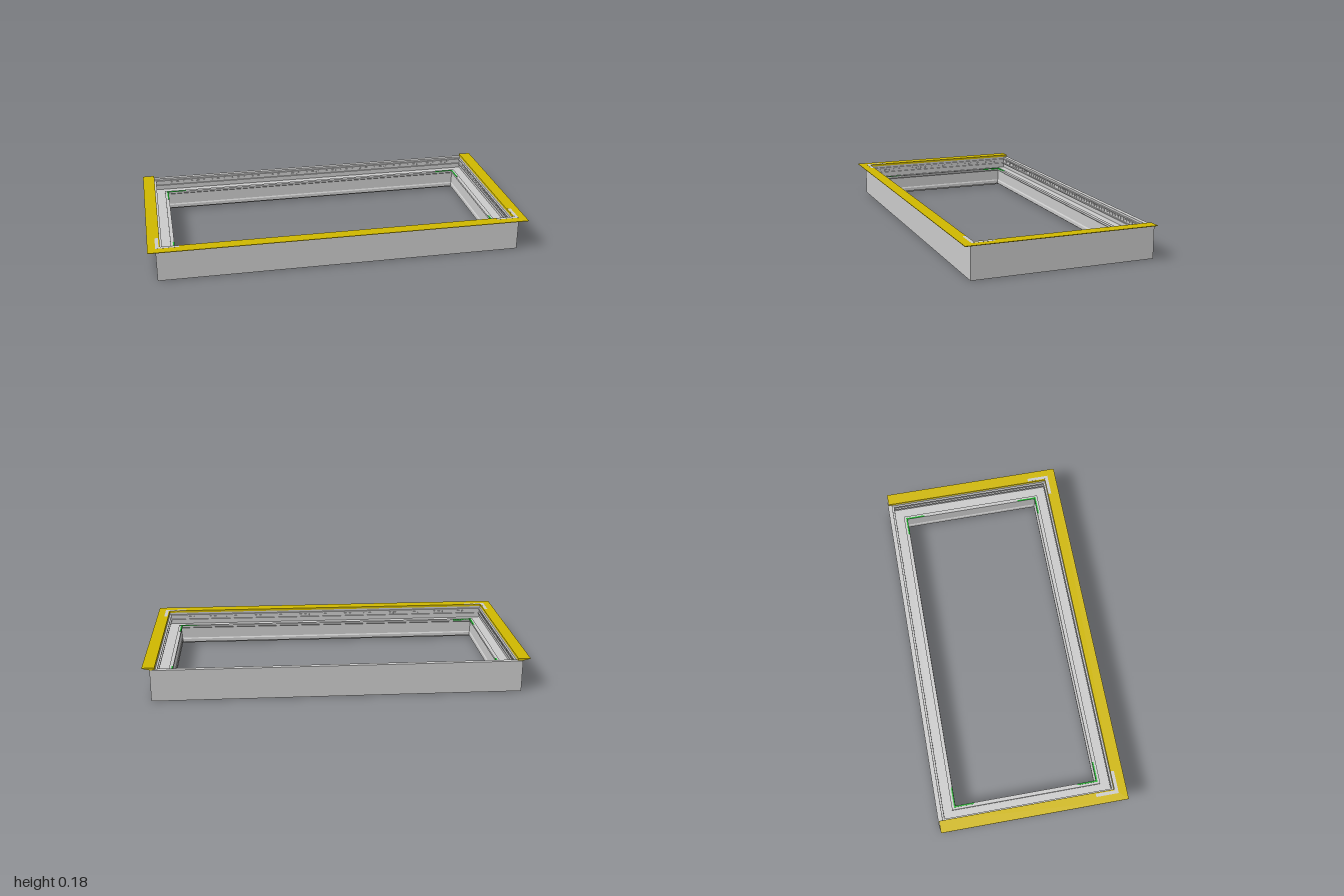
import * as THREE from 'three';
import { mergeGeometries } from 'three/addons/utils/BufferGeometryUtils.js';

const X = 0.96, BACK = -0.5, FRONT = 0.46;
const grey = new THREE.MeshStandardMaterial({ color: 0xcccccc });
const yellow = new THREE.MeshStandardMaterial({ color: 0xd0b800 });
const green = new THREE.MeshStandardMaterial({ color: 0x22bb33 });

// Sweep a profile of [inset, height] points along mitred corners.
// path(d) returns the corner positions [x, z] for an inset d.
function sweep(profile, path, closed) {
  const n = profile.length, count = path(0).length, pos = [];
  const at = (i, j) => {
    const [d, y] = profile[j % n], [x, z] = path(d)[i % count];
    return [x, y, z];
  };
  const tri = (...p) => p.forEach(v => pos.push(...v));
  for (let i = 0; i < (closed ? count : count - 1); i++)
    for (let j = 0; j < n; j++) {
      const a = at(i, j), b = at(i, j + 1), c = at(i + 1, j + 1), d = at(i + 1, j);
      tri(a, b, c);
      tri(a, c, d);
    }
  // end caps of an open run (convex profile)
  if (!closed)
    for (let j = 1; j < n - 1; j++) {
      tri(at(0, 0), at(0, j + 1), at(0, j));
      tri(at(count - 1, 0), at(count - 1, j), at(count - 1, j + 1));
    }
  const g = new THREE.BufferGeometry();
  g.setAttribute('position', new THREE.Float32BufferAttribute(pos, 3));
  g.computeVertexNormals();
  return g;
}

function box(x0, x1, y0, y1, z0, z1) {
  return new THREE.BoxGeometry(Math.abs(x1 - x0), y1 - y0, Math.abs(z1 - z0))
    .translate((x0 + x1) / 2, (y0 + y1) / 2, (z0 + z1) / 2);
}

export function createModel() {
  const model = new THREE.Group();
  const add = (name, geometry, material) => {
    const mesh = new THREE.Mesh(geometry, material);
    mesh.name = name;
    model.add(mesh);
  };

  // extruded frame: ribbed upper wall, shelf, raised lip and lower inner wall
  const ring = d => [[-X + d, BACK + d], [X - d, BACK + d], [X - d, FRONT - d], [-X + d, FRONT - d]];
  add('frame', sweep([
    [0, 0], [0, 0.168], [0.024, 0.168], [0.024, 0.157],
    [0.034, 0.157], [0.034, 0.151], [0.026, 0.151], [0.026, 0.129],
    [0.034, 0.129], [0.034, 0.123], [0.026, 0.123], [0.026, 0.1],
    [0.08, 0.1], [0.08, 0.11], [0.1, 0.11], [0.1, 0.1],
    [0.096, 0.096], [0.096, 0.035], [0.1, 0.028], [0.1, 0.01],
    [0.09, 0.01], [0.085, 0],
  ], ring, true), grey);

  // small teeth between the ribs of the upper wall
  const teeth = [], d0 = 0.025, d1 = 0.029, pitch = 0.03;
  for (let x = -0.9; x < 0.9; x += pitch)
    for (const [a, b] of [[BACK + d0, BACK + d1], [FRONT - d1, FRONT - d0]])
      teeth.push(box(x, x + pitch / 2, 0.135, 0.145, a, b));
  for (let z = -0.45; z < 0.41; z += pitch)
    for (const s of [-1, 1])
      teeth.push(box(s * (X - d0), s * (X - d1), 0.135, 0.145, z, z + pitch / 2));
  add('wallTeeth', mergeGeometries(teeth), grey);

  // flange on the left, front and right, with a tapered underside
  const flangePath = d => [[X - d, -0.495], [X - d, FRONT - d], [-X + d, FRONT - d], [-X + d, -0.495]];
  add('flange', sweep([
    [-0.04, 0.177], [-0.04, 0.18], [0.024, 0.18], [0.024, 0.168], [0, 0.168],
  ], flangePath, false), yellow);

  // L-shaped plates on the front corners of the flange
  const plates = [], clips = [];
  for (const s of [-1, 1]) {
    plates.push(box(s * 0.96, s * 0.84, 0.179, 0.1804, 0.437, 0.455));
    plates.push(box(s * 0.96, s * 0.943, 0.179, 0.1804, 0.335, 0.437));
    // corner clips on the inner lip
    for (const [z, dir] of [[BACK + 0.1, 1], [FRONT - 0.1, -1]]) {
      clips.push(box(s * 0.87, s * 0.76, 0.105, 0.112, z, z - dir * 0.008));
      clips.push(box(s * 0.868, s * 0.86, 0.105, 0.112, z, z + dir * 0.1));
    }
  }
  add('cornerPlates', mergeGeometries(plates), grey);
  add('cornerClips', mergeGeometries(clips), green);
  return model;
}
